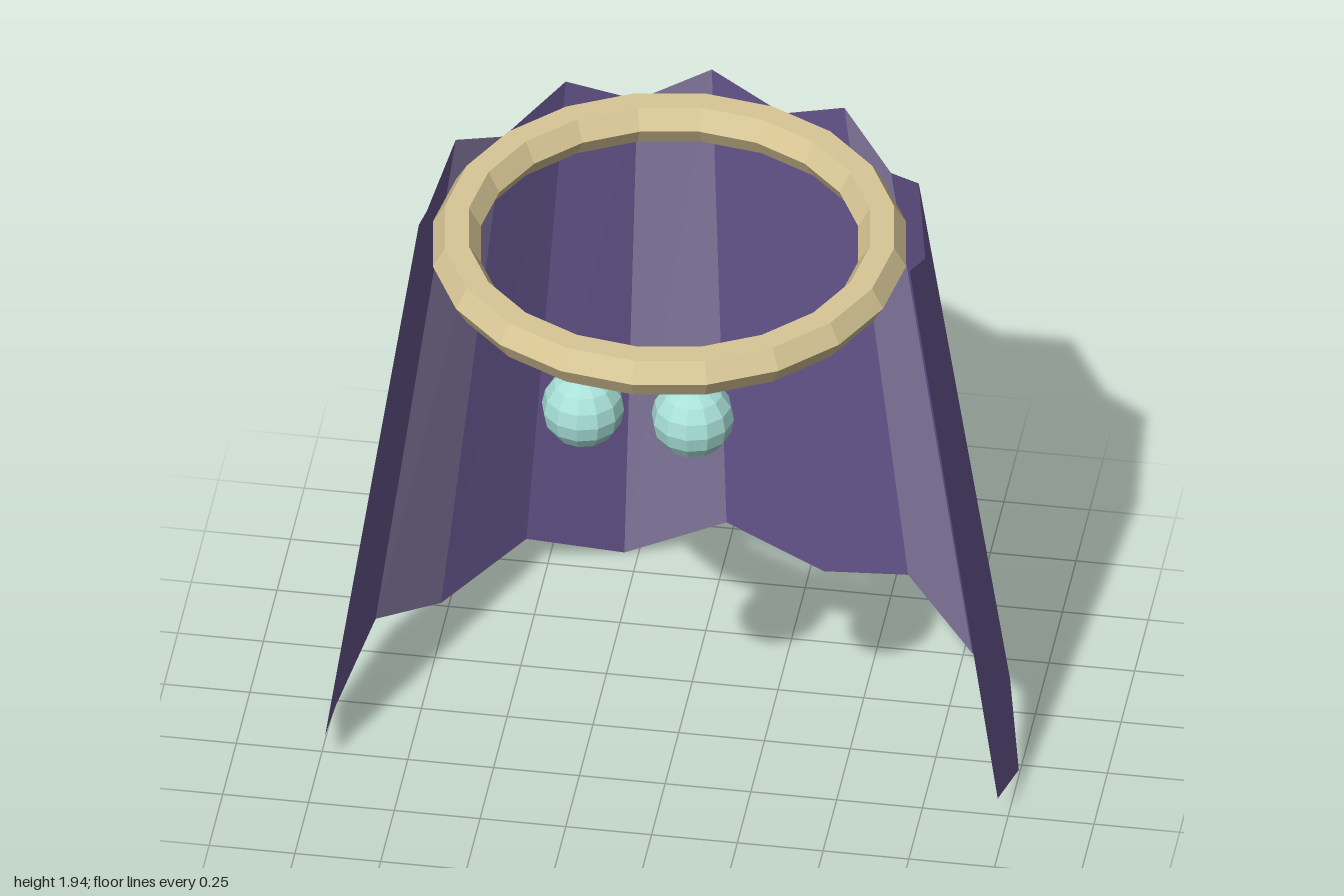
import * as THREE from 'three';

const mat = (color, side = THREE.FrontSide) =>
  new THREE.MeshStandardMaterial({ color, flatShading: true, side });

const PANELS = 12;
const HALF_ARC = 1.77; // cape sweep either side of the back, in radians

// Point on the cape's edge; every second point hangs lower, giving a zigzag
function edgePoint(i, radius, y) {
  const a = (i / PANELS * 2 - 1) * HALF_ARC;
  return [radius * Math.sin(a), y + (i % 2 ? 0 : 0.11), 0.12 - radius * Math.cos(a)];
}

// Flat cape panels for the given indices, merged in one geometry
function panels(indices) {
  const pos = [];
  for (const i of indices) {
    const a = edgePoint(i, 1, 0), b = edgePoint(i + 1, 1, 0);
    const c = edgePoint(i + 1, 0.73, 1.82), d = edgePoint(i, 0.73, 1.82);
    pos.push(...a, ...c, ...b, ...a, ...d, ...c);
  }
  const geo = new THREE.BufferGeometry();
  geo.setAttribute('position', new THREE.Float32BufferAttribute(pos, 3));
  geo.computeVertexNormals();
  return geo;
}

export function createModel() {
  const model = new THREE.Group();
  const add = (name, geo, material, x = 0, y = 0, z = 0) => {
    const mesh = new THREE.Mesh(geo, material);
    mesh.name = name;
    mesh.position.set(x, y, z);
    model.add(mesh);
    return mesh;
  };

  // Cape: every third panel is a lighter stripe
  const all = [...Array(PANELS).keys()];
  const isStripe = (i) => i % 3 === 2 && i < PANELS - 1;
  add('cape', panels(all.filter((i) => !isStripe(i))), mat(0x6b5b95, THREE.DoubleSide));
  add('capeStripes', panels(all.filter(isStripe)), mat(0x8f82ac, THREE.DoubleSide));

  // Collar ring with a hexagonal section
  const ring = new THREE.TorusGeometry(0.62, 0.07, 6, 20).rotateX(Math.PI / 2);
  add('collarRing', ring, mat(0xd9c796), 0, 1.875, 0.17);

  // Pair of beads under the front of the collar
  const bead = new THREE.SphereGeometry(0.12, 12, 8);
  const beadMat = mat(0xa8e0d8);
  for (const [name, side] of [['leftBead', 1], ['rightBead', -1]])
    add(name, bead, beadMat, side * 0.16, 1.7, 0.75);

  return model;
}
